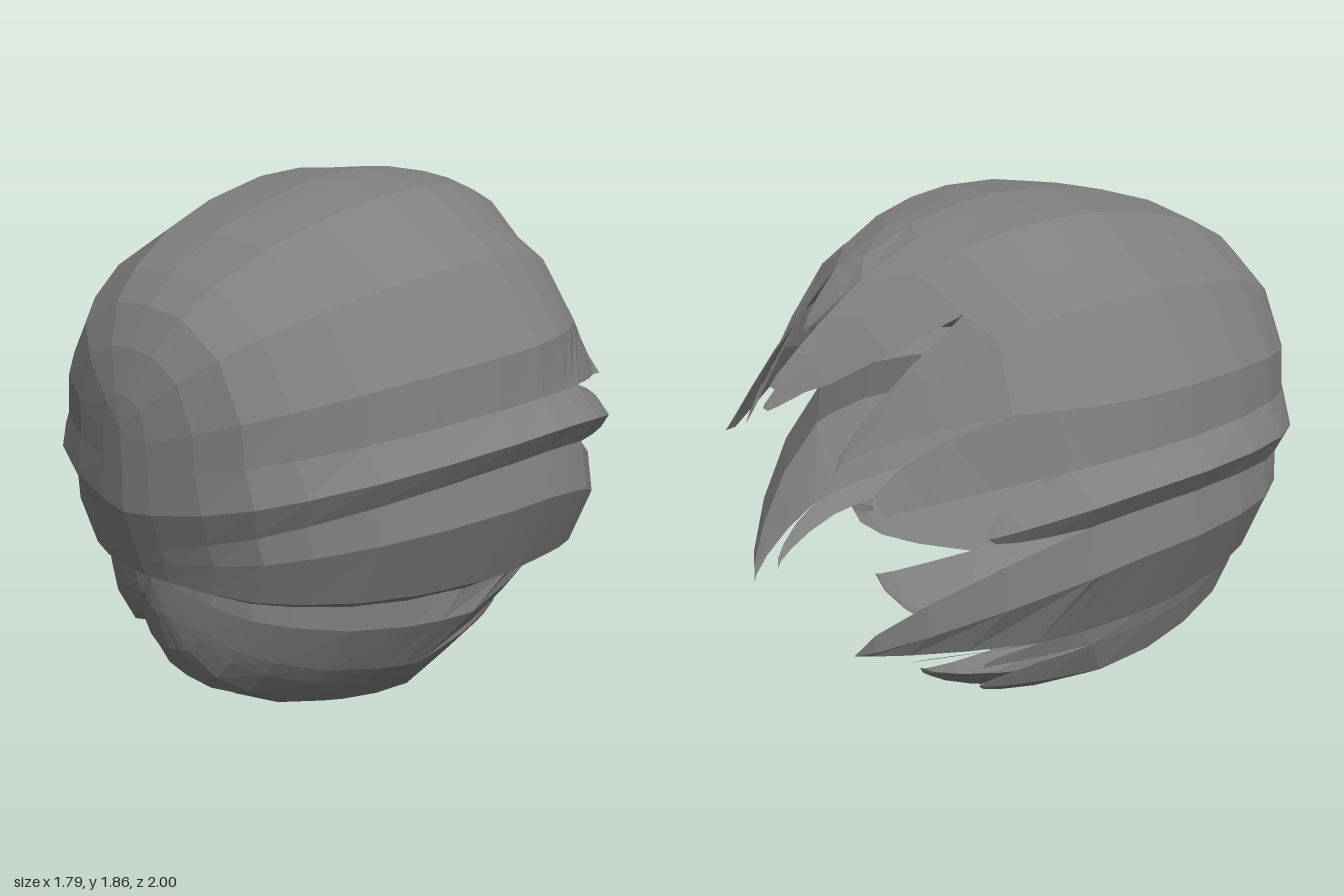
import * as THREE from 'three';

const material = new THREE.MeshStandardMaterial({ color: 0x7f7f7f, flatShading: true, side: THREE.DoubleSide });

// Size of the cross-section along z: [z, scale]
const SWELL = [[1, 0], [0.97, 0.26], [0.87, 0.52], [0.73, 0.69], [0.57, 0.81], [0.3, 0.94], [0.1, 0.985],
  [-0.15, 1], [-0.35, 0.96], [-0.5, 0.9], [-0.66, 0.78], [-0.8, 0.63], [-0.9, 0.51], [-1, 0.38]];

function swell(z) {
  for (let i = 1; i < SWELL.length; i++) {
    const [z0, s0] = SWELL[i - 1], [z1, s1] = SWELL[i];
    if (z >= z1) return s0 + (s1 - s0) * (z0 - z) / (z0 - z1);
  }
  return 0.38;
}

// A row runs from its front point (0, py, pz) over its widest point (x, y) to the back,
// where it sags and pinches inwards
function pointOnRow(row, z) {
  const s = swell(z);
  const back = z < 0 ? z * z : 0;
  return new THREE.Vector3(
    row.x * s * (1 - row.pinch * back),
    row.py + s ** row.curve * (row.y - row.py) - row.sag * back,
    z > 0 ? z * row.pz : z);
}

// Mesh from a grid of points, grid[row][step]
function gridMesh(name, grid) {
  const steps = grid[0].length, index = [];
  for (let i = 0; i < grid.length - 1; i++) {
    for (let k = 0; k < steps - 1; k++) {
      const a = i * steps + k, b = a + steps;
      index.push(a, b, a + 1, b, b + 1, a + 1);
    }
  }
  const geometry = new THREE.BufferGeometry().setFromPoints(grid.flat());
  geometry.setIndex(index);
  geometry.computeVertexNormals();
  const mesh = new THREE.Mesh(geometry, material);
  mesh.name = name;
  return mesh;
}

// Closed front part of a shell: shared rings, then on to each row's own end
const RINGS = [1, 0.985, 0.94, 0.87, 0.76, 0.58, 0.36, 0.1, -0.1, -0.25];
function shell(name, rows) {
  const limit = Math.max(...rows.map(r => r.end)) + 0.04;
  const rings = RINGS.filter(z => z > limit);
  const last = rings[rings.length - 1];
  return gridMesh(name, rows.map(r => [...rings, (last + r.end) / 2, r.end].map(z => pointOnRow(r, z))));
}

// Pointed lock that carries a span of rows on and gathers it into a tip
function lock(name, rows, tip, gather) {
  const end = new THREE.Vector3(...tip);
  return gridMesh(name, rows.map(r => [0, 0.25, 0.5, 0.75, 1].map(t =>
    pointOnRow(r, r.end + (end.z - r.end) * t).lerp(end, t ** gather))));
}

const makeRow = ([x, y, py, pz, end, curve, sag = 0, pinch = 0]) => ({ x, y, py, pz, end, curve, sag, pinch });

export function createModel() {
  const group = new THREE.Group();
  group.name = 'sweptShell';

  // Upper shell, from the crown down one side: x, y, front y, front z, end z, curve, sag, pinch
  const half = [
    [0, 1.87, 1.18, 1, -0.62, 0.95, 0.02],
    [0.1, 1.86, 1.18, 1, -0.68, 0.95, 0.02],
    [0.29, 1.84, 1.18, 1, -0.56, 0.95, 0.1, 0.4],
    [0.45, 1.745, 1.18, 1, -0.5, 0.95, 0.28, 0.2],
    [0.61, 1.65, 1.18, 1, -0.47, 0.95, 0.2, 0.3],
    [0.8, 1.38, 1.12, 1, -0.5, 1.1, -0.05, 0.45],
    [0.82, 1.21, 1.03, 1, -0.37, 1.3, 0.1, 0.2],
    [0.9, 1.12, 0.9, 1, -0.34, 1.45, 0.12],
    [0.84, 1.03, 0.78, 0.96, -0.33, 1.45, 0.12],
    [0.87, 0.88, 0.72, 0.94, -0.34, 1.3, 0.3],
    [0.75, 0.6, 0.66, 0.92, -0.45, 1.6, 0.12],
    [0.67, 0.55, 0.65, 0.9, -0.4, 1.8, 0.1],
  ].map(makeRow);
  const mirrored = half.slice(1).reverse().map(r => ({ ...r, x: -r.x }));
  const upper = [...mirrored, ...half];
  const mid = half.length - 1;
  group.add(shell('upperShell', upper));

  // Locks of the upper shell: first row, last row, tip
  group.add(lock('crownLock', upper.slice(mid - 1, mid + 2), [0, 1.53, -0.85], 1));
  const upperLocks = [
    ['topLock', 1, 3, [0.03, 1.39, -1]],
    ['upperLock', 3, 5, [0.28, 1.15, -0.93]],
    ['templeLock', 5, 6, [0.47, 1.06, -0.91]],
    ['ridgeLock', 6, 8, [0.7, 1.01, -0.64]],
    ['cheekLock', 8, 10, [0.33, 0.53, -0.91]],
    ['ledgeLock', 10, 11, [0.43, 0.5, -0.76]],
  ];
  for (const [name, a, b, [x, y, z]] of upperLocks) {
    group.add(lock(name + 'Left', upper.slice(mid + a, mid + b + 1), [x, y, z], 1.15));
    group.add(lock(name + 'Right', upper.slice(mid - b, mid - a + 1), [-x, y, z], 1.15));
  }

  // Lower shell, from the model's left round the bottom to its right: x, y, end z, curve
  const lower = [
    [0.67, 0.55, -0.12, 1.8], [0.67, 0.45, 0.05, 1.2], [0.55, 0.255, 0.18, 0.9], [0.48, 0.18, 0.14, 0.85],
    [0.35, 0.07, 0.02, 0.8], [0.25, 0.03, 0, 0.8], [0.17, 0.03, -0.01, 0.8], [0.07, 0.003, -0.06, 0.8],
    [-0.1, 0.04, -0.1, 0.8], [-0.2, 0.12, -0.08, 0.8], [-0.28, 0.17, -0.02, 0.8], [-0.31, 0.24, 0.02, 0.85],
    [-0.43, 0.21, -0.03, 0.85], [-0.6, 0.33, -0.1, 0.95], [-0.65, 0.47, -0.18, 1.2], [-0.67, 0.55, -0.25, 1.8],
  ].map(([x, y, end, curve]) => makeRow([x, y, 0.65, 0.9, end, curve]));
  group.add(shell('lowerShell', lower));

  // Locks of the lower shell
  const lowerLocks = [
    ['jawLockLeft', 0, 2, [0.6, 0.57, -0.34]],
    ['chinLockLeft', 2, 5, [0.45, 0.35, -0.34]],
    ['chinLock', 6, 10, [0, 0.18, -0.44]],
    ['jawLockRight', 11, 14, [-0.46, 0.34, -0.51]],
    ['sideLockRight', 14, 15, [-0.6, 0.5, -0.6]],
  ];
  for (const [name, a, b, tip] of lowerLocks) group.add(lock(name, lower.slice(a, b + 1), tip, 0.85));

  return group;
}
